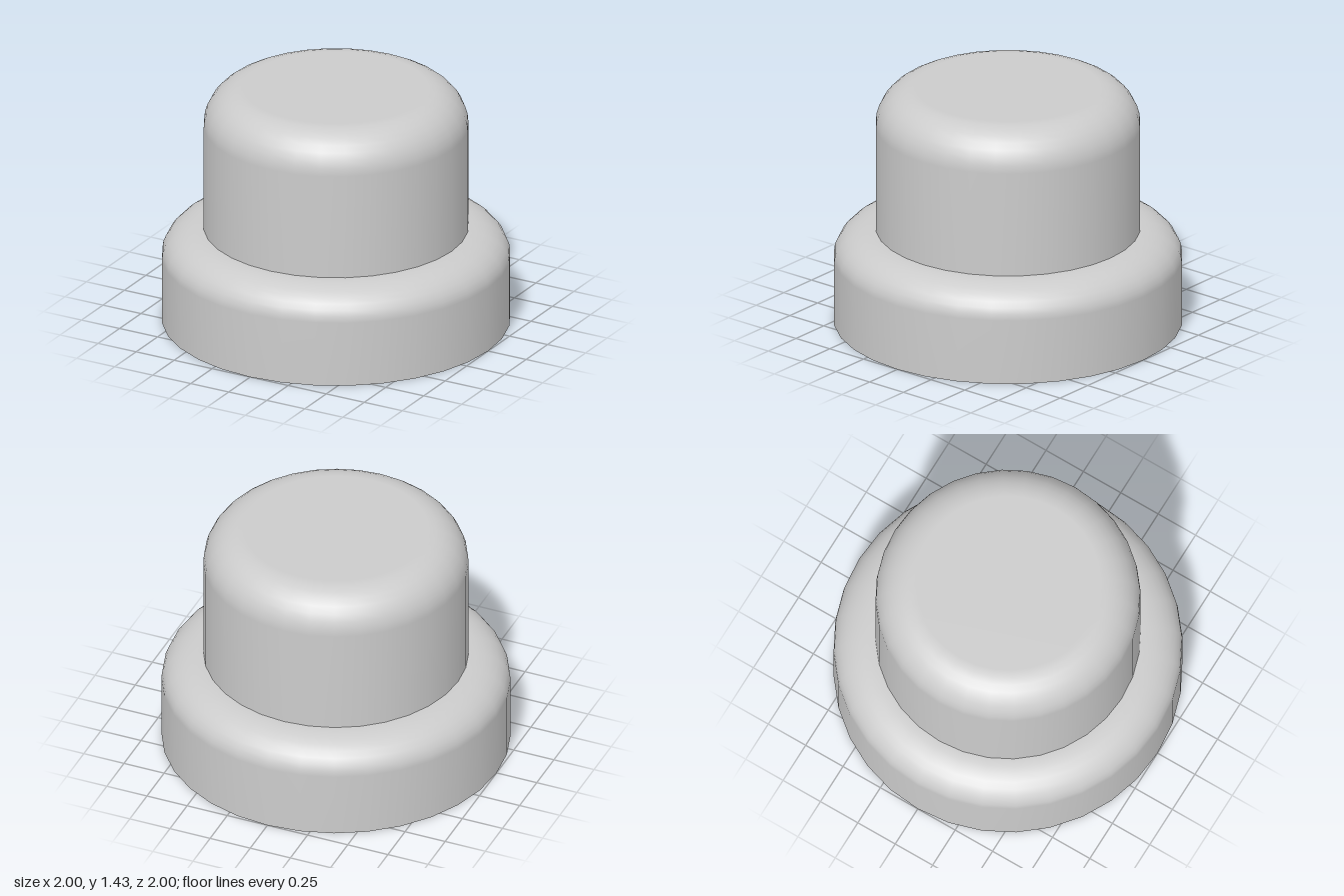
import * as THREE from 'three';

const SEGMENTS = 32;

// Solid of revolution: straight wall with a rounded shoulder, closed on the axis.
// A repeated corner point keeps the edge sharp.
function roundedDrum(name, material, { radius, bottom, top, roundX, roundY, steps = 8 }) {
  const points = [
    new THREE.Vector2(0, bottom),
    new THREE.Vector2(radius, bottom),
    new THREE.Vector2(radius, bottom),
  ];
  for (let i = 0; i <= steps; i++) {
    const a = (i / steps) * Math.PI / 2;
    points.push(new THREE.Vector2(
      radius - roundX + roundX * Math.cos(a),
      top - roundY + roundY * Math.sin(a)
    ));
  }
  points.push(new THREE.Vector2(0, top));
  const mesh = new THREE.Mesh(new THREE.LatheGeometry(points, SEGMENTS), material);
  mesh.name = name;
  return mesh;
}

export function createModel() {
  const group = new THREE.Group();
  group.name = 'steppedKnob';
  const grey = new THREE.MeshStandardMaterial({ color: 0xcccccc });

  // Wide base with a soft shoulder
  group.add(roundedDrum('base', grey, {
    radius: 1, bottom: 0, top: 0.57, roundX: 0.24, roundY: 0.18,
  }));

  // Narrower cap with a rounded rim, standing on the base
  group.add(roundedDrum('cap', grey, {
    radius: 0.76, bottom: 0.57, top: 1.43, roundX: 0.23, roundY: 0.23,
  }));

  return group;
}
